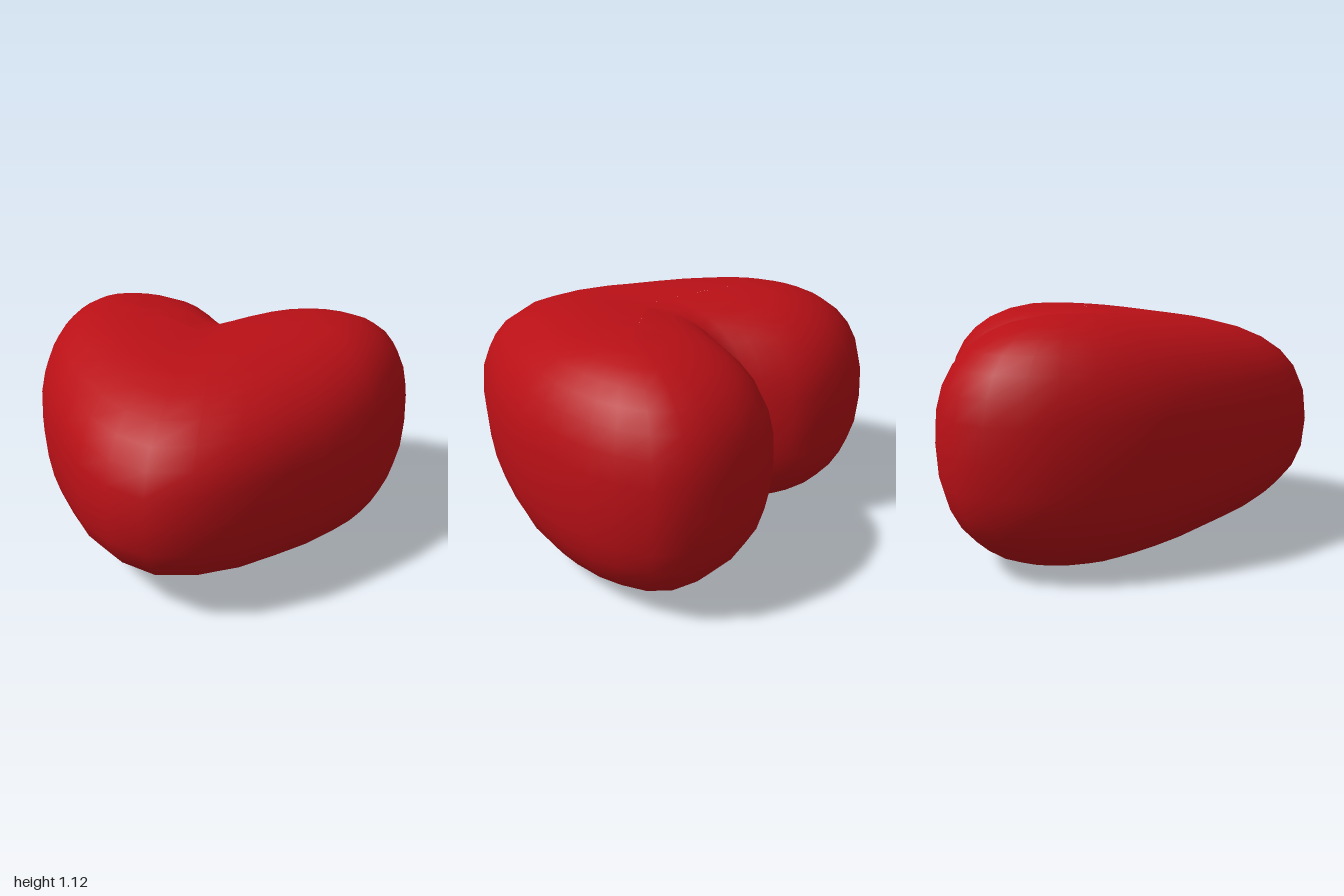
import * as THREE from 'three';
import { mergeVertices } from 'three/addons/utils/BufferGeometryUtils.js';

// Left half of the heart outline, tip to cleft: x, z, and position along the inner ridge (0 centre, 1 lobe)
const HALF = [
  [0, 0.945, 0], [0.2, 0.885, 0.15], [0.38, 0.755, 0.33], [0.54, 0.575, 0.5],
  [0.69, 0.39, 0.68], [0.81, 0.2, 0.82], [0.89, 0.05, 0.93], [0.94, -0.1, 1],
  [0.978, -0.25, 1], [1, -0.43, 1], [0.99, -0.57, 1], [0.95, -0.73, 1],
  [0.86, -0.845, 1], [0.71, -0.915, 1], [0.53, -0.945, 1], [0.365, -0.935, 0.97],
  [0.22, -0.885, 0.85], [0.13, -0.81, 0.68], [0.06, -0.7, 0.4], [0.03, -0.63, 0.2],
  [0, -0.58, 0],
];
const MID = 0.56;    // height of the widest level
const LEVELS = 16;   // bands from the bottom ridge to the top ridge

function heartGeometry() {
  // Whole outline with signed x side for the mirrored half
  const outline = HALF.map(([x, z, t]) => ({ x, z, t, side: 1 }));
  for (let i = HALF.length - 2; i > 0; i--) {
    const [x, z, t] = HALF[i];
    outline.push({ x: -x, z, t, side: -1 });
  }
  const n = outline.length;
  const positions = [];
  const index = [];

  // Each level shrinks the outline toward a V-shaped ridge, with a puffy rounded section
  for (let k = 0; k <= LEVELS; k++) {
    const a = (k / LEVELS - 0.5) * Math.PI;
    const s = k % LEVELS === 0 ? 0 : Math.pow(Math.cos(a), 0.8);
    const rise = Math.sign(a) * Math.pow(Math.abs(Math.sin(a)), 0.8);
    for (const p of outline) {
      const rx = p.side * 0.5 * p.t;
      const rz = -0.05 - 0.27 * p.t;
      const half = 0.53 + 0.03 * Math.sin(p.t * Math.PI / 2);
      positions.push(rx + (p.x - rx) * s, MID + half * rise, rz + (p.z - rz) * s);
    }
  }
  for (let k = 0; k < LEVELS; k++) {
    for (let j = 0; j < n; j++) {
      const a = k * n + j, b = k * n + (j + 1) % n;
      index.push(a, b, b + n, a, b + n, a + n);
    }
  }
  let geometry = new THREE.BufferGeometry();
  geometry.setAttribute('position', new THREE.Float32BufferAttribute(positions, 3));
  geometry.setIndex(index);
  geometry = mergeVertices(geometry, 1e-4);
  geometry.computeVertexNormals();
  return geometry;
}

export function createModel() {
  const group = new THREE.Group();
  group.name = 'heart';
  const body = new THREE.Mesh(heartGeometry(), new THREE.MeshStandardMaterial({ color: 0xb81016 }));
  body.name = 'heartBody';
  group.add(body);
  return group;
}
